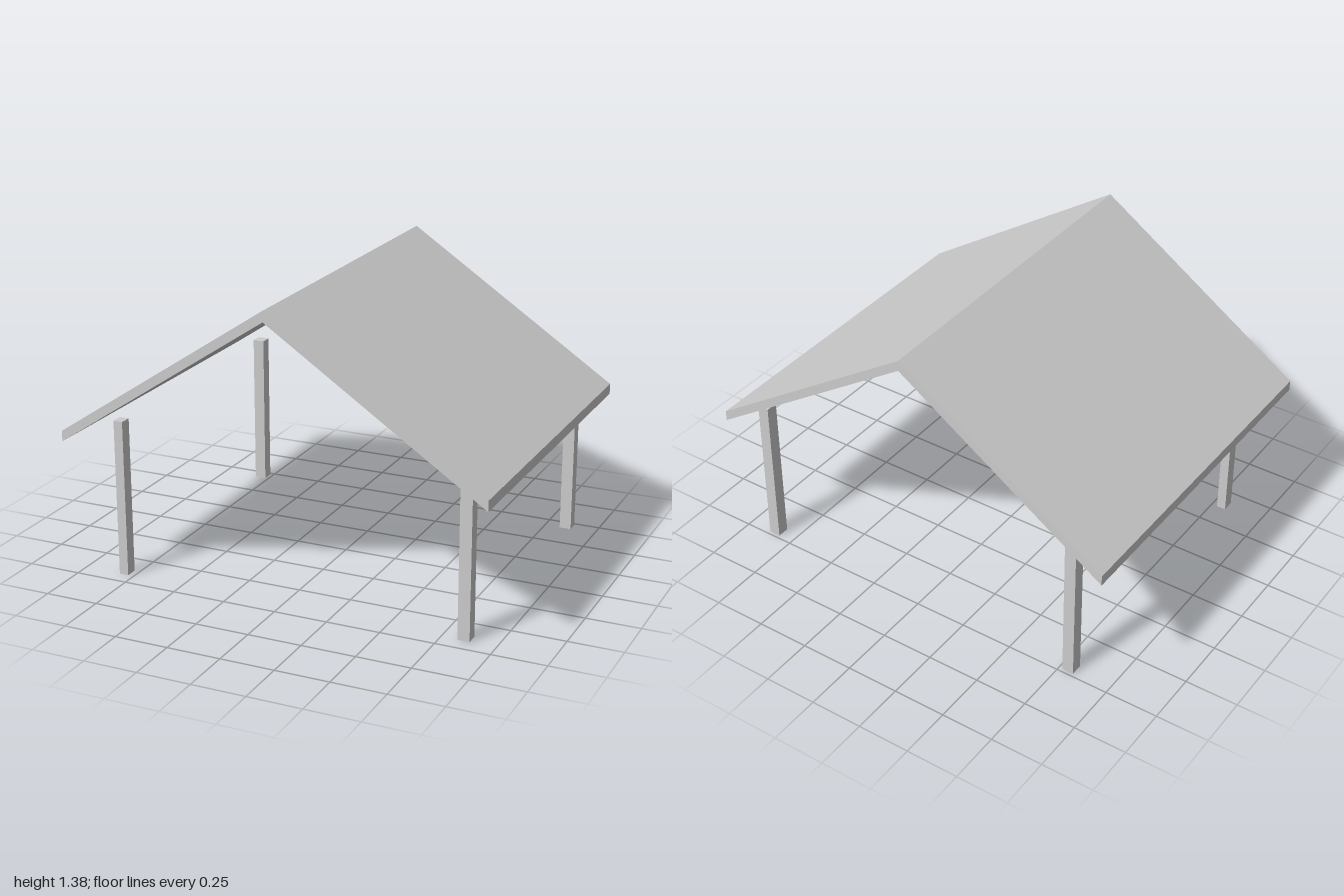
import * as THREE from 'three';

export function createModel() {
  const model = new THREE.Group();
  model.name = 'openShelter';
  const grey = new THREE.MeshStandardMaterial({ color: 0xcccccc });
  grey.name = 'lightGrey';

  // Gable roof: chevron profile run from front to back
  const depth = 1.642;
  const profile = new THREE.Shape([
    [-1, 0.661], [0, 1.328], [1, 0.661], [1, 0.71], [0, 1.377], [-1, 0.71],
  ].map(([x, y]) => new THREE.Vector2(x, y)));
  const roofGeometry = new THREE.ExtrudeGeometry(profile, { depth, bevelEnabled: false });
  roofGeometry.translate(0, 0, -depth / 2);
  const roof = new THREE.Mesh(roofGeometry, grey);
  roof.name = 'roof';
  model.add(roof);

  // Corner posts, each given by its x and z extents
  const postHeight = 0.737;
  function addPost(name, x0, x1, z0, z1) {
    const post = new THREE.Mesh(new THREE.BoxGeometry(x1 - x0, postHeight, z1 - z0), grey);
    post.position.set((x0 + x1) / 2, postHeight / 2, (z0 + z1) / 2);
    post.name = name;
    model.add(post);
  }
  addPost('frontLeftPost', 0.825, 0.88, 0.621, 0.678);
  addPost('backLeftPost', 0.825, 0.88, -0.734, -0.677);
  addPost('frontRightPost', -0.822, -0.778, 0.621, 0.678);
  addPost('backRightPost', -0.822, -0.767, -0.734, -0.677);

  return model;
}
